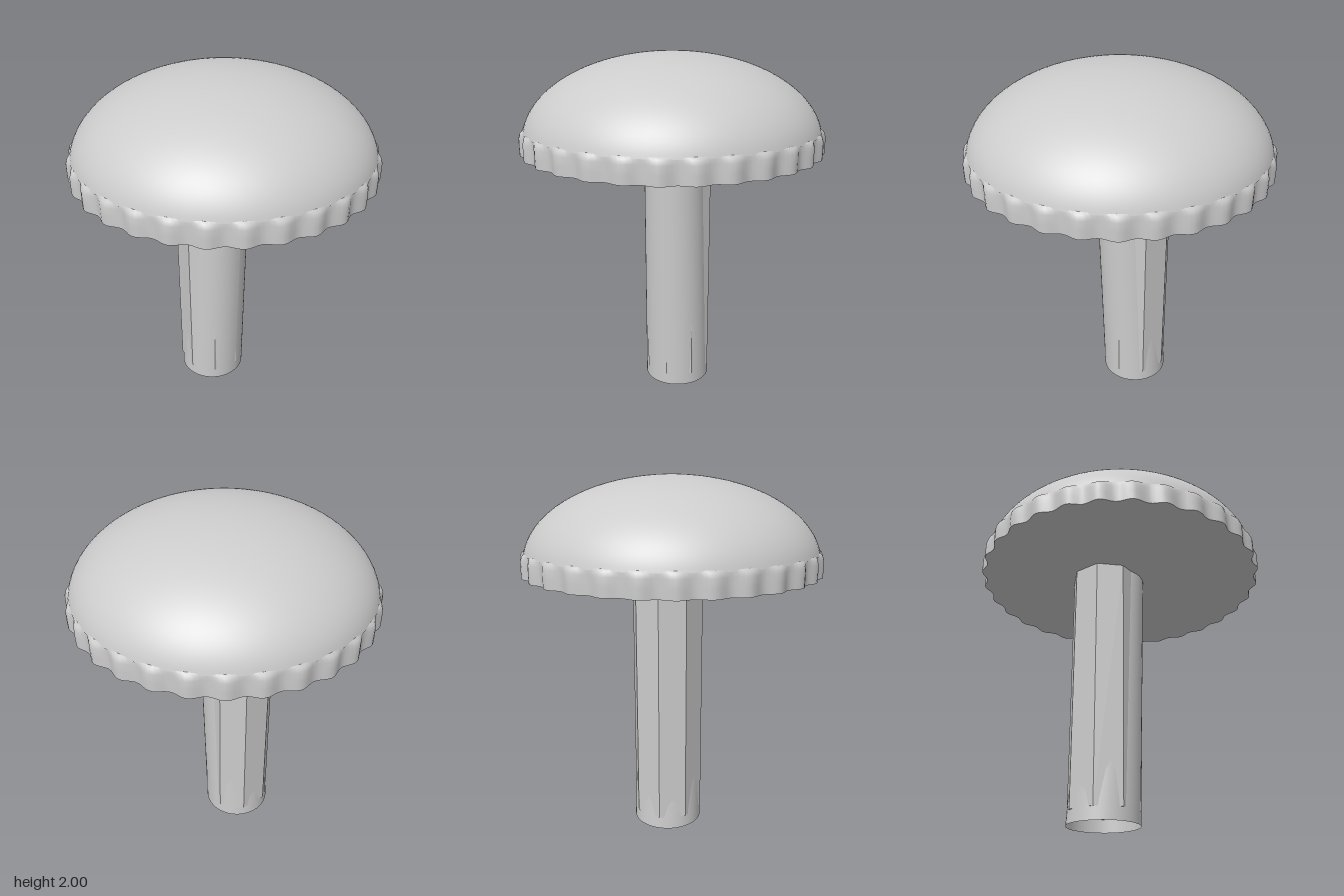
import * as THREE from 'three';
import { mergeVertices } from 'three/addons/utils/BufferGeometryUtils.js';

const LOBES = 30, PHASE = 0.045, STEM_Z = -0.1;

// Lathe whose radius ripples around the axis; each row is [radius, y, ripple height]
function rippledLathe(rows, segments) {
  const points = rows.map(([r, y]) => new THREE.Vector2(r, y));
  let geo = new THREE.LatheGeometry(points, segments);
  const pos = geo.attributes.position;
  for (let i = 0; i < pos.count; i++) {
    const [r, , ripple] = rows[i % rows.length];
    const x = pos.getX(i), z = pos.getZ(i);
    const a = Math.atan2(z, x);
    const radius = r + ripple * Math.cos(LOBES * (a - PHASE));
    pos.setX(i, radius * Math.cos(a));
    pos.setZ(i, radius * Math.sin(a));
  }
  geo.deleteAttribute('uv');
  geo.deleteAttribute('normal');
  geo = mergeVertices(geo, 1e-5);
  geo.computeVertexNormals();
  return geo;
}

export function createModel() {
  const model = new THREE.Group();
  const grey = new THREE.MeshStandardMaterial({ color: 0xcccccc });
  const greyOpen = grey.clone();
  greyOpen.side = THREE.DoubleSide;
  grey.name = 'grey';
  greyOpen.name = 'grey open';

  const add = (name, geo, material = grey) => {
    const mesh = new THREE.Mesh(geo, material);
    mesh.name = name;
    model.add(mesh);
    return mesh;
  };

  // Smooth elliptical cap
  const dome = [];
  const start = Math.asin(0.06 / 0.47);
  for (let i = 0; i <= 28; i++) {
    const t = start + (Math.PI / 2 - start) * i / 28;
    dome.push(new THREE.Vector2(i === 28 ? 0 : 0.82 * Math.cos(t), 1.53 + 0.47 * Math.sin(t)));
  }
  add('capDome', new THREE.LatheGeometry(dome, 96));

  // Scalloped rim, rounding in to the dome at its top
  add('capRim', rippledLathe([
    [0.822, 1.47, 0.013],
    [0.823, 1.52, 0.013],
    [0.822, 1.565, 0.013],
    [0.818, 1.59, 0.008],
    [0.807, 1.602, 0],
  ], 240));

  // Flat underside with the same scalloped outline
  add('capUnderside', rippledLathe([[0, 1.47, 0], [0.822, 1.47, 0.013]], 240));

  // Faceted eight-sided stem
  const stem = new THREE.CylinderGeometry(0.2, 0.2, 1.4, 8).toNonIndexed();
  stem.computeVertexNormals();
  add('stem', stem).position.set(0, 0.77, STEM_Z);

  // Open round core: a cuff at the foot, leaning forward out of the stem as it rises
  const core = new THREE.CylinderGeometry(0.17, 0.195, 1.47, 48, 8, true);
  core.translate(0, 0.735, 0);
  const p = core.attributes.position;
  for (let i = 0; i < p.count; i++) {
    p.setZ(i, p.getZ(i) + STEM_Z + 0.065 * p.getY(i) / 1.47);
  }
  core.computeVertexNormals();
  add('stemCore', core, greyOpen);

  return model;
}
